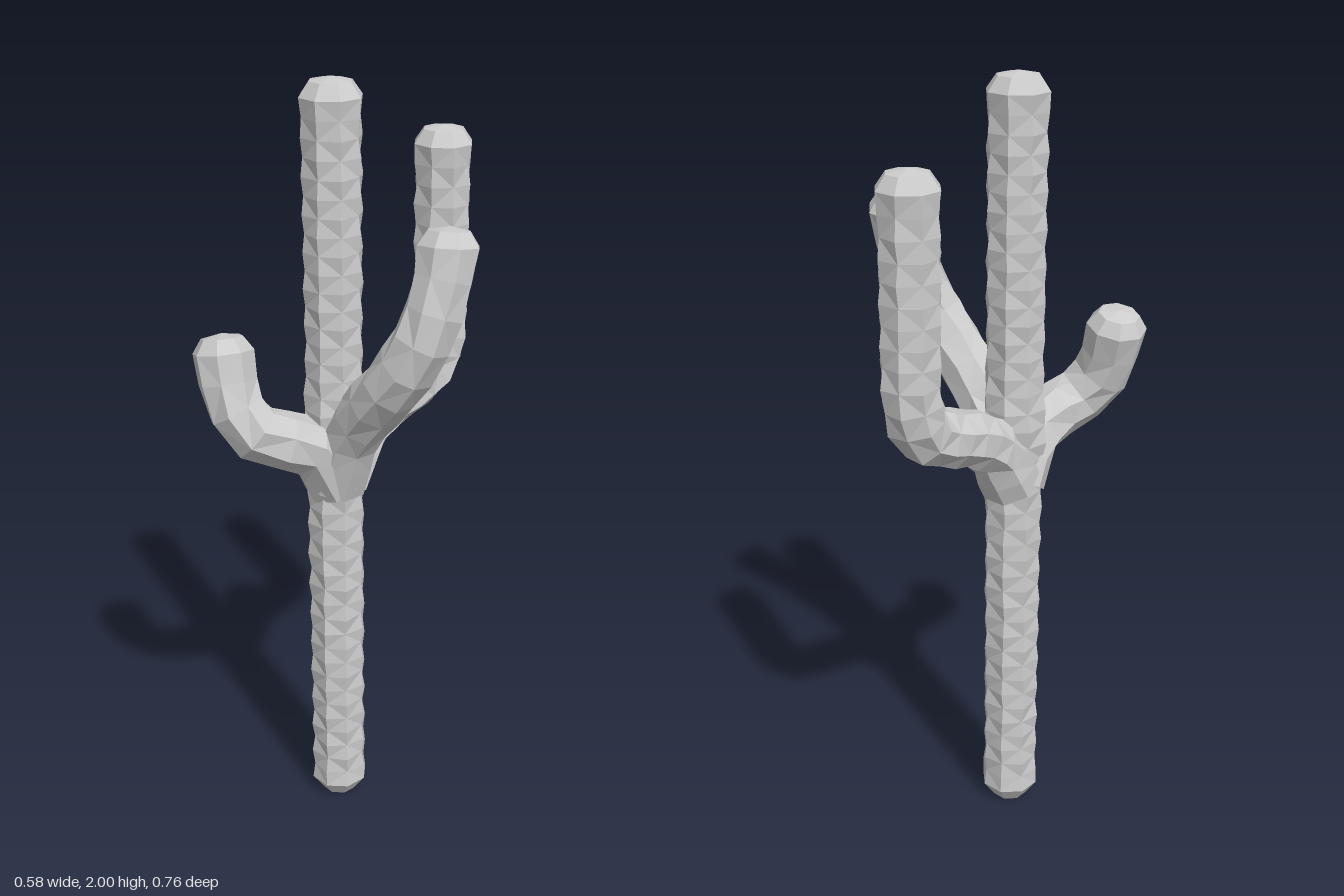
import * as THREE from 'three';

const SIDES = 8;

// Small seeded generator for the uneven skin
function makeRandom(seed) {
  let s = seed;
  return () => (s = (s * 16807) % 2147483647) / 2147483647;
}

// Sweeps a notched octagon along a path; `side` is the axis its flat sides line up with
function makeLimb(name, path, side, radius, { step, notch, jitter, seed, base = false }, material) {
  const random = makeRandom(seed);
  const curve = new THREE.CatmullRomCurve3(path.map((p) => new THREE.Vector3(...p)));
  const length = curve.getLength();
  const cap = 0.045 / length;

  // Rings as [position along path, scale]; the ends are chamfered
  const rings = base ? [[0, 0.6], [cap, 1]] : [[0, 1]];
  const from = base ? cap : 0;
  const count = Math.round(((1 - cap - from) * length) / step);
  for (let i = 1; i <= count; i++) rings.push([from + ((1 - cap - from) * i) / count, 1]);
  rings.push([1 - 0.01 / length, 0.68]);

  const verts = [];
  rings.forEach(([u, scale], j) => {
    const centre = curve.getPointAt(u);
    const t = curve.getTangentAt(u);
    const a = new THREE.Vector3(...side);
    a.addScaledVector(t, -a.dot(t)).normalize();
    const b = t.clone().cross(a);
    const inner = j > 1 && j < rings.length - 2;
    for (let i = 0; i < SIDES; i++) {
      // Ridges dip on alternate rings
      const dip = inner && (i + j) % 2 ? notch : 0;
      const r = radius(u) * scale * (1 - dip - (inner ? jitter * random() : 0));
      const slide = inner ? (random() - 0.5) * jitter * 2 : 0;
      const angle = ((i + 0.5) / SIDES) * Math.PI * 2 + slide;
      verts.push(centre.clone()
        .addScaledVector(a, r * Math.cos(angle))
        .addScaledVector(b, r * Math.sin(angle)));
    }
  });

  // Skin between rings, splitting quads in alternating directions
  const index = [];
  for (let j = 0; j < rings.length - 1; j++) {
    for (let i = 0; i < SIDES; i++) {
      const n = (i + 1) % SIDES;
      const p = j * SIDES + i, q = j * SIDES + n;
      const r = q + SIDES, s = p + SIDES;
      if ((i + j) % 2) index.push(p, q, r, p, r, s);
      else index.push(p, q, s, q, r, s);
    }
  }
  // End fans
  const first = verts.push(curve.getPointAt(0)) - 1;
  const last = verts.push(curve.getPointAt(1)) - 1;
  const top = (rings.length - 1) * SIDES;
  for (let i = 0; i < SIDES; i++) {
    const n = (i + 1) % SIDES;
    index.push(first, n, i, last, top + i, top + n);
  }

  const geometry = new THREE.BufferGeometry().setFromPoints(verts);
  geometry.setIndex(index);
  geometry.computeVertexNormals();
  const mesh = new THREE.Mesh(geometry, material);
  mesh.name = name;
  return mesh;
}

export function createModel() {
  const group = new THREE.Group();
  group.name = 'cactus';
  const material = new THREE.MeshStandardMaterial({ color: 0xcccccc, flatShading: true });
  const X = -0.086, Z = 0.058;

  // Trunk, swelling slightly where the arms join
  const trunkRadius = (u) => 0.078 + 0.01 * Math.exp(-(((u - 0.56) / 0.05) ** 2));
  group.add(makeLimb('trunk', [[X, 0, Z], [X, 1, Z], [X, 2, Z]], [1, 0, 0], trunkRadius,
    { step: 0.046, notch: 0.07, jitter: 0.03, seed: 11, base: true }, material));

  // Arms are thicker at the root
  const armRadius = (u) => 0.077 + 0.008 * Math.max(0, 1 - u * 4);

  // Tall arm at the back
  group.add(makeLimb('backArm', [
    [X, 0.98, 0.05], [X, 1.09, -0.02], [X, 1.145, -0.11], [X, 1.175, -0.2],
    [X, 1.215, -0.275], [X, 1.3, -0.305], [X, 1.45, -0.306], [X, 1.65, -0.306], [X, 1.84, -0.306],
  ], [1, 0, 0], armRadius, { step: 0.05, notch: 0.07, jitter: 0.03, seed: 23 }, material));

  // Slanting arm on the left
  group.add(makeLimb('leftArm', [
    [X, 0.98, Z], [-0.025, 1.12, 0.058], [0.055, 1.22, 0.063], [0.14, 1.315, 0.06],
    [0.2, 1.41, 0.04], [0.222, 1.52, 0.005], [0.22, 1.61, -0.025], [0.212, 1.695, -0.04],
  ], [0, 0, -1], armRadius, { step: 0.075, notch: 0.04, jitter: 0.06, seed: 37 }, material));

  // Short arm at the front
  group.add(makeLimb('frontArm', [
    [X, 0.98, Z], [X, 1.08, 0.12], [-0.098, 1.125, 0.2], [-0.125, 1.155, 0.27],
    [-0.17, 1.22, 0.305], [-0.2, 1.31, 0.306], [-0.222, 1.4, 0.3],
  ], [-0.9, 0, -0.4], armRadius, { step: 0.075, notch: 0.04, jitter: 0.06, seed: 53 }, material));

  return group;
}
